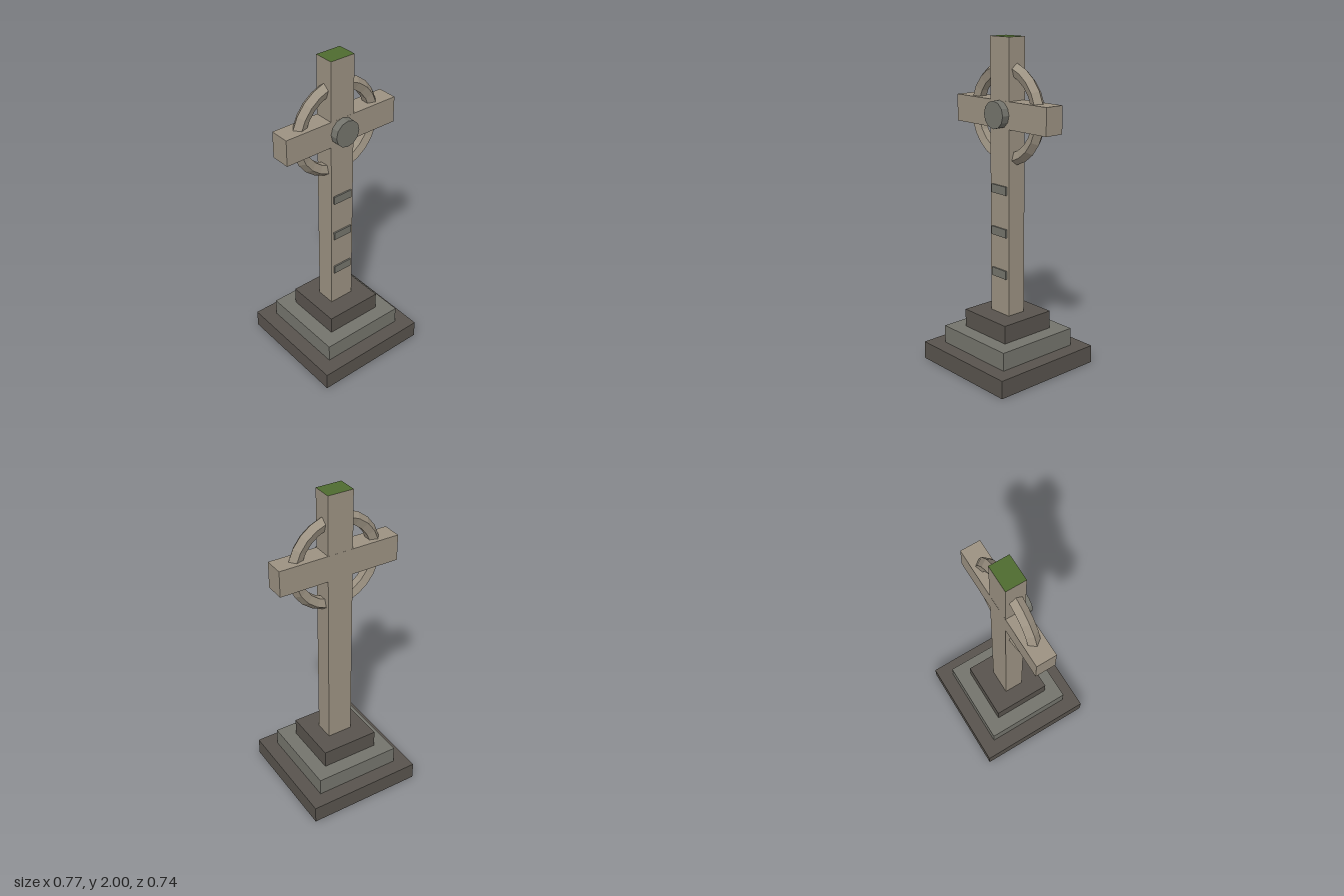
import * as THREE from 'three';

const mat = (name, color) => {
  const m = new THREE.MeshStandardMaterial({ color, flatShading: true });
  m.name = name;
  return m;
};

export function createModel() {
  const paleStone = mat('paleStone', 0x9c9282);
  const greyStone = mat('greyStone', 0x74746c);
  const darkStone = mat('darkStone', 0x58534d);
  const moss = mat('moss', 0x4f6b30);

  const group = new THREE.Group();
  group.name = 'stoneCross';
  const add = (name, geometry, material, x, y, z) => {
    const mesh = new THREE.Mesh(geometry, material);
    mesh.name = name;
    mesh.position.set(x, y, z);
    group.add(mesh);
    return mesh;
  };
  const box = (name, w, h, d, material, y, z = 0) =>
    add(name, new THREE.BoxGeometry(w, h, d), material, 0, y, z);

  // Stepped base
  [[0.737, 0, 0.111, darkStone], [0.553, 0.111, 0.223, greyStone], [0.368, 0.223, 0.335, darkStone]]
    .forEach(([w, y0, y1, m], i) => box('baseStep' + (i + 1), w, y1 - y0, w, m, (y0 + y1) / 2));

  // Shaft with a mossy top face, and the cross arm
  const sides = [0, 1, 2, 3, 4, 5].map(i => (i === 2 ? moss : paleStone));
  box('shaft', 0.162, 1.665, 0.123, sides, 1.1675);
  box('crossArm', 0.774, 0.162, 0.124, paleStone, 1.558);

  // Ring with a five-sided section, its ridge facing outward
  add('ring', new THREE.TorusGeometry(0.265, 0.041, 5, 24), paleStone, 0, 1.558, 0);

  // Round boss on the crossing
  const disc = new THREE.CylinderGeometry(0.082, 0.082, 0.06, 12);
  disc.rotateY(Math.PI / 2).rotateX(Math.PI / 2);
  add('boss', disc, greyStone, 0, 1.558, 0.08);

  // Raised bands on the front of the shaft
  [0.592, 0.852, 1.112].forEach((y, i) => box('band' + (i + 1), 0.127, 0.052, 0.02, greyStone, y, 0.061));

  return group;
}
